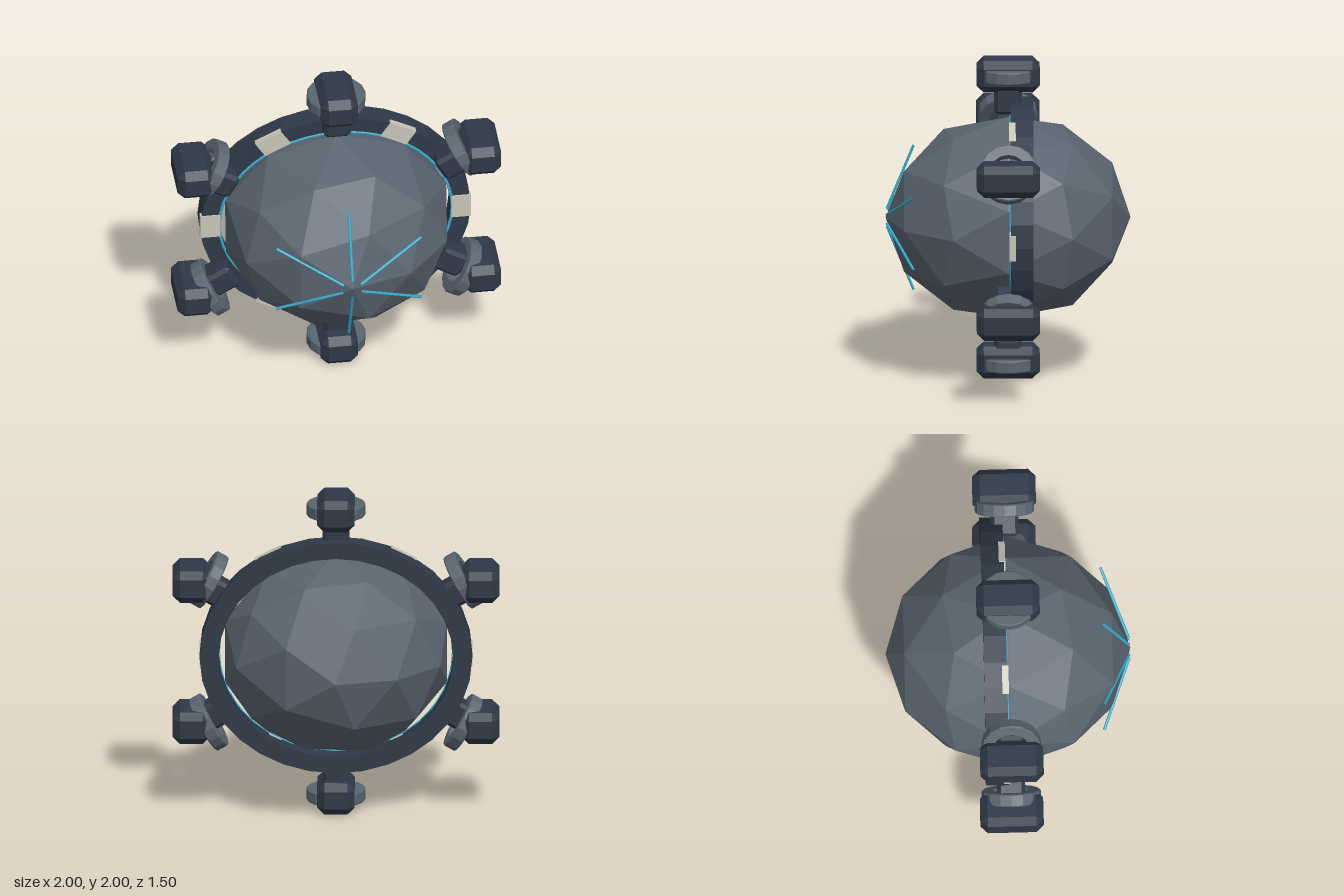
import * as THREE from 'three';
import { ConvexGeometry } from 'three/addons/geometries/ConvexGeometry.js';

const paint = (color) => new THREE.MeshStandardMaterial({ color, flatShading: true });
const HULL = paint(0x5a6571), DARK = paint(0x2f3948), CREAM = paint(0xc8c4b8), GLOW = paint(0x38a9c9);
const STRETCH = 1.136; // width of the hull and collar relative to their height

function part(name, geometry, material, parent) {
  const mesh = new THREE.Mesh(geometry, material);
  mesh.name = name;
  parent.add(mesh);
  return mesh;
}

// Box with every edge and corner cut off by c
function chamferedBox(w, h, d, c) {
  const x = w / 2, y = h / 2, z = d / 2, points = [];
  for (const i of [-1, 1]) for (const j of [-1, 1]) for (const k of [-1, 1]) {
    points.push(
      new THREE.Vector3(i * x, j * (y - c), k * (z - c)),
      new THREE.Vector3(i * (x - c), j * y, k * (z - c)),
      new THREE.Vector3(i * (x - c), j * (y - c), k * z));
  }
  return new ConvexGeometry(points);
}

// Flat-sided ring around the y axis, with small bevels on the outer rim
function band(inner, outer, height, bevel, sides) {
  const h = height / 2;
  const profile = [
    [inner, -h], [outer - bevel, -h], [outer, bevel - h],
    [outer, h - bevel], [outer - bevel, h], [inner, h], [inner, -h],
  ].map(([r, y]) => new THREE.Vector2(r, y));
  return new THREE.LatheGeometry(profile, sides);
}

// Straight thin rod between two points
function rod(a, b, radius) {
  return new THREE.TubeGeometry(new THREE.LineCurve3(a, b), 1, radius, 6);
}

export function createModel() {
  const model = new THREE.Group();
  model.name = 'pod';
  const body = new THREE.Group();
  body.name = 'body';
  body.position.y = 1;
  model.add(body);

  // Faceted hull with a pole facing the front
  const hull = new THREE.IcosahedronGeometry(1, 1);
  hull.rotateX(Math.atan(2 / (1 + Math.sqrt(5))));
  hull.rotateZ(Math.PI / 2);
  hull.scale(0.716, 0.63, 0.75);
  part('hull', hull, HULL, body);

  // Oval collar with a light strip on its inner edge
  const oval = new THREE.Group();
  oval.name = 'collarAssembly';
  oval.scale.x = STRETCH;
  body.add(oval);
  const collar = part('collar', band(0.632, 0.735, 0.14, 0, 32), DARK, oval);
  collar.rotation.x = Math.PI / 2;
  collar.position.z = -0.085;
  part('lightStrip', new THREE.TorusGeometry(0.633, 0.008, 6, 48), GLOW, oval).position.z = -0.015;

  for (let i = 0; i < 6; i++) {
    // Pale blocks set into the collar
    const a = (i * Math.PI) / 3;
    const block = part('collarBlock', new THREE.BoxGeometry(0.108, 0.16, 0.04), CREAM, oval);
    block.position.set(0.6825 * Math.cos(a), 0.6825 * Math.sin(a), -0.026);
    block.rotation.z = a;

    // Glowing rods fanning out from the nose
    const b = a + Math.PI / 6, c = Math.cos(b), s = Math.sin(b);
    part('noseRod', rod(
      new THREE.Vector3(0.055 * c * STRETCH, 0.055 * s, 0.742),
      new THREE.Vector3(0.455 * c * STRETCH, 0.455 * s, 0.578), 0.009), GLOW, body);

    // Thruster: neck, ring across the arm, and upright housing
    const arm = new THREE.Group();
    arm.name = 'thruster';
    body.add(arm);
    const neck = part('thrusterNeck', chamferedBox(0.165, 0.17, 0.17, 0.022), DARK, arm);
    neck.position.set(0.82 * c, 0.745 * s, 0);
    neck.rotation.z = b - Math.PI / 2;
    const ring = part('thrusterRing', band(0.115, 0.182, 0.078, 0.007, 16), HULL, arm);
    ring.position.set(0.9 * c, 0.908 * s, 0);
    ring.rotation.z = b - Math.PI / 2;
    const housing = part('thrusterHousing', chamferedBox(0.23, 0.2, 0.388, 0.045), DARK, arm);
    housing.position.set(1.022 * c, 0.9 * s, 0);
  }
  return model;
}
